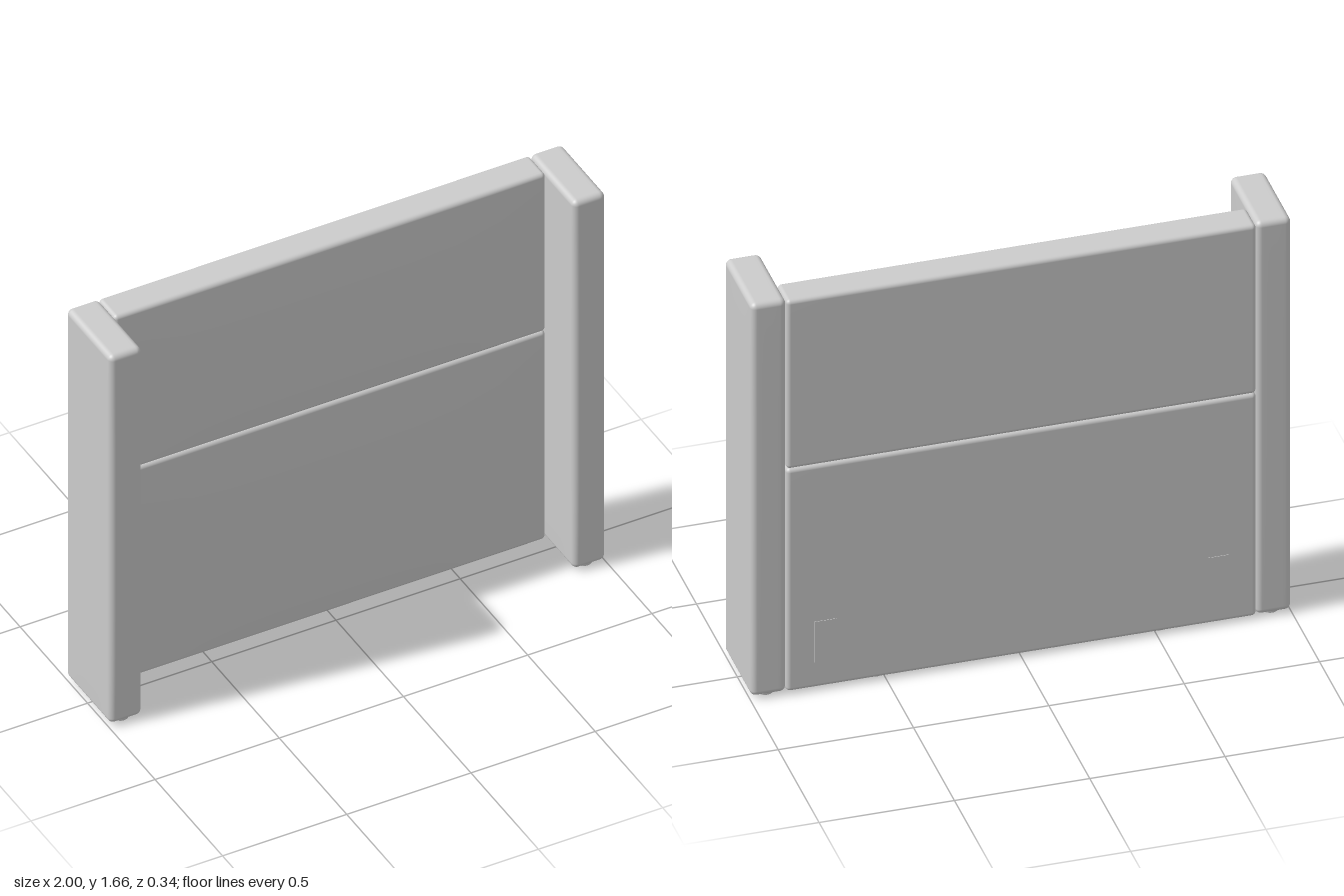
import * as THREE from 'three';
import { mergeVertices } from 'three/addons/utils/BufferGeometryUtils.js';

const material = new THREE.MeshStandardMaterial({ color: 0xcccccc });

// Upholstered block: rounded edges, with faces swelling gently by bulge [x, front, back]
function cushion(w, h, d, r, bulge) {
  const geo = new THREE.BoxGeometry(2, 2, 2, 20, 20, 20);
  geo.deleteAttribute('uv');
  geo.deleteAttribute('normal');
  const half = new THREE.Vector3(w / 2, h / 2, d / 2);
  const inner = half.clone().subScalar(r);
  const pos = geo.attributes.position;
  const p = new THREE.Vector3(), c = new THREE.Vector3();
  // half of the steps cover the flat, the rest the rounded edge
  const spread = (u, flat) => {
    const a = Math.abs(u);
    const v = a < 0.5 ? a * 2 * flat : flat + r * Math.tan((a - 0.5) * Math.PI / 2);
    return Math.sign(u) * v;
  };
  const fade = (v, max) => 1 - Math.min(1, Math.abs(v) / max) ** 4;
  for (let i = 0; i < pos.count; i++) {
    p.fromBufferAttribute(pos, i);
    p.set(spread(p.x, inner.x), spread(p.y, inner.y), spread(p.z, inner.z));
    c.copy(p).clamp(inner.clone().negate(), inner);
    p.sub(c).setLength(r).add(c);
    const fx = fade(p.x, half.x), fy = fade(p.y, half.y), fz = fade(p.z, half.z);
    p.x += Math.sign(p.x) * bulge[0] * fy * fz;
    p.z += (p.z > 0 ? bulge[1] : -bulge[2]) * fx * fy;
    pos.setXYZ(i, p.x, p.y, p.z);
  }
  const smooth = mergeVertices(geo, 1e-5);
  smooth.computeVertexNormals();
  return smooth;
}

export function createModel() {
  const group = new THREE.Group();
  const add = (name, geo, x, y, z) => {
    const mesh = new THREE.Mesh(geo, material);
    mesh.name = name;
    mesh.position.set(x, y, z);
    group.add(mesh);
  };

  // Two stacked padded panels meeting at a seam
  for (const [name, y0, y1] of [['lowerPanel', 0.012, 0.945], ['upperPanel', 0.945, 1.652]]) {
    add(name, cushion(1.736, y1 - y0, 0.126, 0.016, [0, 0.009, 0]), 0, (y0 + y1) / 2, -0.104);
  }

  const wing = cushion(0.13, 1.646, 0.33, 0.022, [0.002, 0.003, 0.001]);
  const foot = new THREE.CylinderGeometry(0.033, 0.03, 0.016, 24);
  const plate = new THREE.BoxGeometry(0.08, 0.17, 0.006);
  for (const side of [-1, 1]) {
    const label = side > 0 ? 'left' : 'right';
    // Side wings reaching forward
    add(label + 'Wing', wing, side * 0.933, 0.835, 0);
    // Low feet under the wings and panel
    add(label + 'FrontFoot', foot, side * 0.933, 0.008, 0.118);
    add(label + 'BackFoot', foot, side * 0.933, 0.008, -0.113);
    add(label + 'PanelFoot', foot, side * 0.525, 0.008, -0.11);
    // Mounting plates on the back
    add(label + 'MountingPlate', plate, side * 0.725, 0.205, -0.166);
  }
  return group;
}
